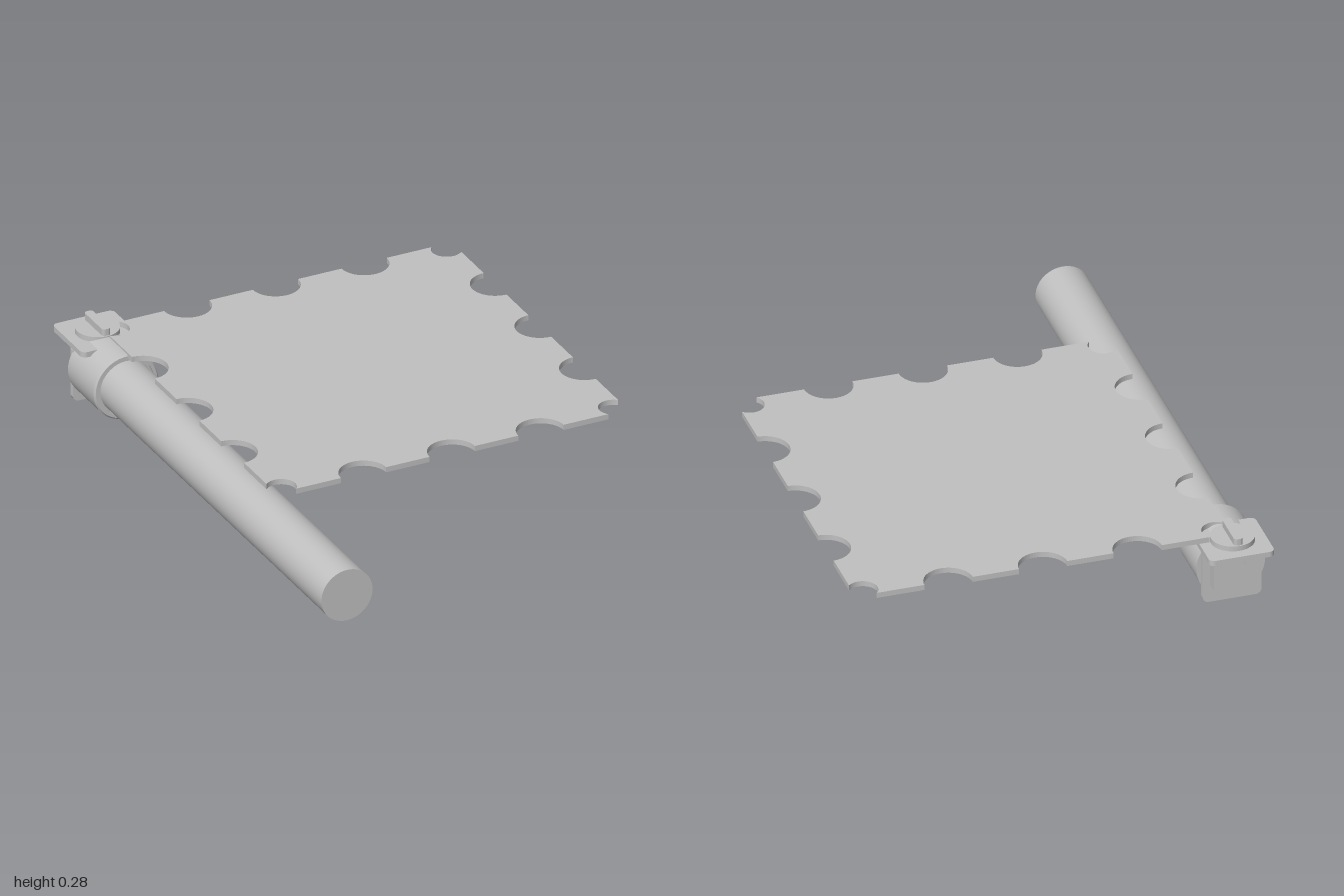
import * as THREE from 'three';

export function createModel() {
  const model = new THREE.Group();
  const grey = new THREE.MeshStandardMaterial({ color: 0xc0c0c0 });
  const CX = -0.61, CY = 0.126; // axis of the tube

  const add = (name, geometry, x = 0, y = 0, z = 0) => {
    const mesh = new THREE.Mesh(geometry, grey);
    mesh.name = name;
    mesh.position.set(x, y, z);
    model.add(mesh);
    return mesh;
  };
  const box = (name, w, h, d, x, y, z) => add(name, new THREE.BoxGeometry(w, h, d), x, y, z);
  const extrude = (shape, depth) =>
    new THREE.ExtrudeGeometry(shape, { depth, bevelEnabled: false, curveSegments: 20 });
  const roundedRect = (w, h, r) => {
    const s = new THREE.Shape();
    s.absarc(w / 2 - r, h / 2 - r, r, 0, Math.PI / 2);
    s.absarc(r - w / 2, h / 2 - r, r, Math.PI / 2, Math.PI);
    s.absarc(r - w / 2, r - h / 2, r, Math.PI, Math.PI * 1.5);
    s.absarc(w / 2 - r, r - h / 2, r, Math.PI * 1.5, Math.PI * 2);
    return s;
  };

  // Long tube with closed ends
  const tube = new THREE.CylinderGeometry(0.097, 0.097, 1.67, 64).rotateX(Math.PI / 2);
  add('tube', tube, CX, CY, 0.165);

  // Collar with a small chamfered lip; each straight run has its own edge points
  const profile = [[0, 0], [0.1225, 0], [0.1225, 0], [0.1225, 0.194], [0.1225, 0.194],
    [0.117, 0.2], [0.117, 0.2], [0.106, 0.2], [0.106, 0.2], [0.106, 0.19], [0.106, 0.19], [0, 0.19]];
  const collar = new THREE.LatheGeometry(profile.map(p => new THREE.Vector2(...p)), 64);
  add('collar', collar.rotateX(Math.PI / 2), CX, CY, -0.865);

  // Square panel with scalloped edges: each side is walked counter-clockwise
  const half = 0.668, cornerR = 0.053, inset = 0.037, notchR = 0.086;
  const reach = Math.sqrt(cornerR ** 2 - inset ** 2);
  const panelShape = new THREE.Shape();
  for (let side = 0; side < 4; side++) {
    const turn = side * Math.PI / 2;
    const at = (x, y) => new THREE.Vector2(x, y).rotateAround(new THREE.Vector2(), turn);
    // corner bite
    const c = at(inset - half, inset - half);
    const start = Math.atan2(reach, -inset), end = Math.atan2(-inset, reach);
    panelShape.absarc(c.x, c.y, cornerR, start + turn, end + turn, true);
    // three half-round bites along the side
    for (let i = -1; i <= 1; i++) {
      const n = at(i * 0.337, -half);
      panelShape.absarc(n.x, n.y, notchR, Math.PI + turn, turn, true);
    }
  }
  panelShape.closePath();
  const panel = extrude(panelShape, 0.02).rotateX(-Math.PI / 2);
  add('panel', panel, 0.063, 0.235, -0.211);

  // Bracket: flat top plate and upright back plate
  add('topPlate', extrude(roundedRect(0.232, 0.232, 0.02), 0.02).rotateX(-Math.PI / 2),
    CX, 0.214, -0.884);
  add('backPlate', extrude(roundedRect(0.21, 0.214, 0.022), 0.022), CX, 0.107, -0.882);

  // Latch block under the top plate, with a pair of hooked tabs
  box('latchBlock', 0.16, 0.146, 0.055, CX, 0.143, -0.902);
  for (const s of [-1, 1]) {
    box('latchTab', 0.028, 0.055, 0.012, CX + s * 0.042, 0.187, -0.934);
  }

  // Turn knob with a raised grip
  add('knobDisc', new THREE.CylinderGeometry(0.077, 0.077, 0.022, 48), CX, 0.242, -0.885);
  add('knobGrip', extrude(roundedRect(0.032, 0.145, 0.012), 0.03).rotateX(-Math.PI / 2),
    CX, 0.248, -0.885);

  return model;
}
